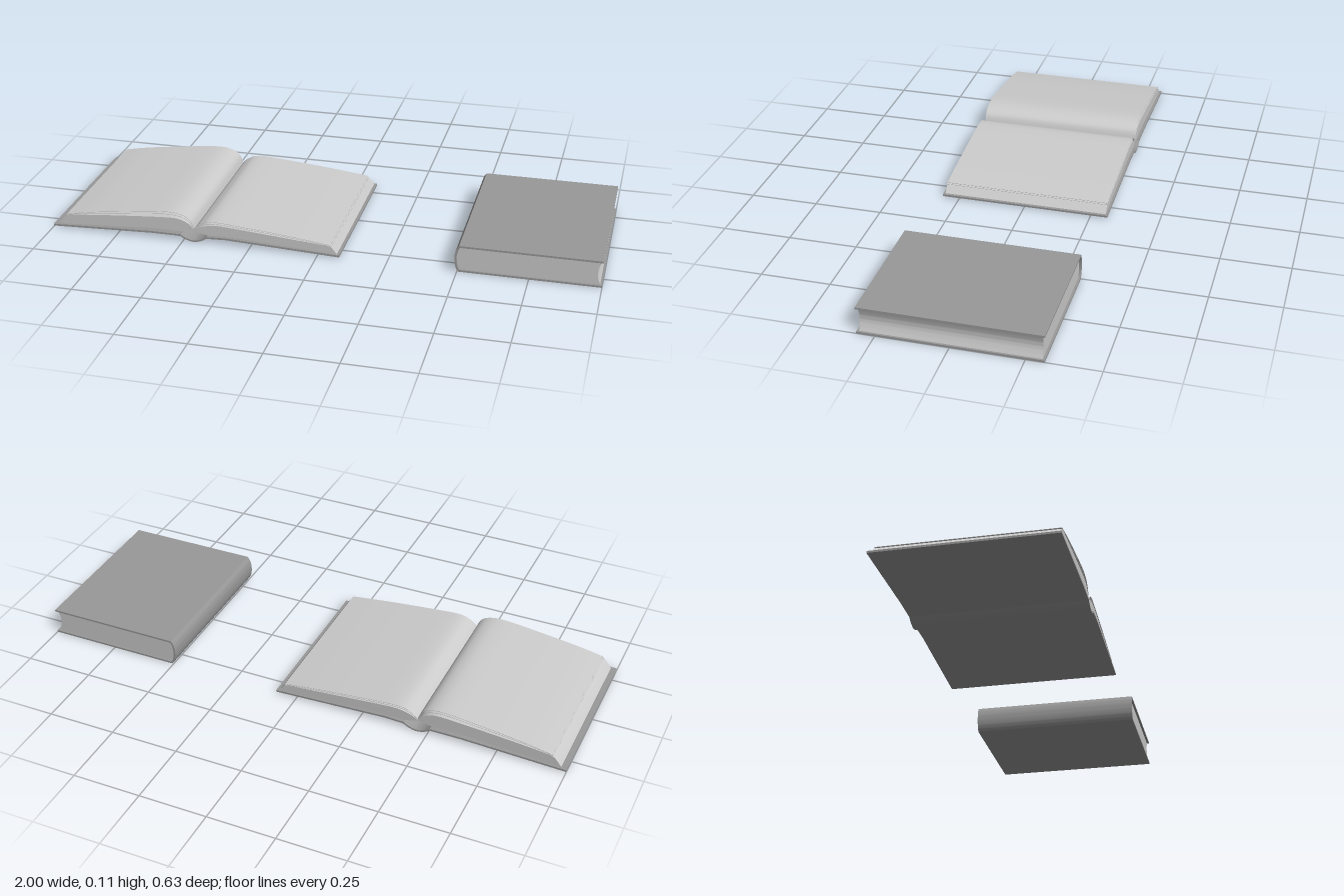
import * as THREE from 'three';
import { toCreasedNormals } from 'three/addons/utils/BufferGeometryUtils.js';

const paper = new THREE.MeshStandardMaterial({ color: 0xcccccc, side: THREE.DoubleSide });
const cloth = new THREE.MeshStandardMaterial({ color: 0x999999, side: THREE.DoubleSide });
const COVER_DEPTH = 0.626, PAGE_DEPTH = 0.61;

const vectors = (pts) => pts.map(([x, y]) => new THREE.Vector2(x, y));
const curve = (pts, n = 24) => new THREE.SplineCurve(vectors(pts)).getPoints(n);

// Outline in the xy plane, extruded evenly to both sides of z = 0
function prism(name, outline, depth, material) {
  const geo = new THREE.ExtrudeGeometry(new THREE.Shape(outline), { depth, bevelEnabled: false });
  geo.translate(0, 0, -depth / 2);
  const mesh = new THREE.Mesh(toCreasedNormals(geo, 0.6), material);
  mesh.name = name;
  return mesh;
}

// Band of constant thickness lying on the left-hand side of a line
function band(name, line, thickness, depth, material) {
  const offset = line.map((p, i) => {
    const a = line[Math.max(i - 1, 0)], b = line[Math.min(i + 1, line.length - 1)];
    const t = b.clone().sub(a).normalize();
    return new THREE.Vector2(p.x - t.y * thickness, p.y + t.x * thickness);
  });
  return prism(name, [...line, ...offset.reverse()], depth, material);
}

function openBook() {
  const book = new THREE.Group();
  book.name = 'openBook';

  // Covers and the sagging spine between them
  book.add(
    band('leftCover', vectors([[-1, 0.003], [-0.62, 0.018], [-0.51, 0.018]]), 0.007, COVER_DEPTH, cloth),
    band('rightCover', vectors([[-0.41, 0.018], [-0.34, 0.021], [0.08, 0.003]]), 0.007, COVER_DEPTH, cloth),
    band('spine', curve([[-0.512, 0.02], [-0.49, 0.007], [-0.46, 0], [-0.43, 0.007], [-0.408, 0.02]]),
      0.006, COVER_DEPTH, cloth),
  );

  // Page blocks: sloping fore edge, curved top, underside lifting at the gutter
  book.add(prism('leftPages', [
    ...vectors([[-0.98, 0.012], [-0.955, 0.043]]),
    ...curve([[-0.94, 0.05], [-0.85, 0.06], [-0.7, 0.073], [-0.56, 0.083], [-0.51, 0.08], [-0.478, 0.065], [-0.46, 0.045]]),
    ...curve([[-0.462, 0.042], [-0.51, 0.033], [-0.6, 0.034], [-0.75, 0.025], [-0.97, 0.012]], 14),
  ], PAGE_DEPTH, paper));
  book.add(prism('rightPages', [
    ...vectors([[0.07, 0.01], [0.05, 0.036]]),
    ...curve([[0.03, 0.04], [-0.1, 0.05], [-0.25, 0.062], [-0.37, 0.07], [-0.42, 0.063], [-0.445, 0.053], [-0.46, 0.042]]),
    ...curve([[-0.457, 0.04], [-0.41, 0.029], [-0.33, 0.031], [-0.15, 0.022], [0.06, 0.01]], 14),
  ], PAGE_DEPTH, paper));

  // Loose leaves arching above each block
  const leaves = [
    ['leftTopLeaf', [[-0.945, 0.052], [-0.85, 0.07], [-0.7, 0.09], [-0.57, 0.104], [-0.51, 0.1], [-0.475, 0.08], [-0.46, 0.045]]],
    ['leftLowerLeaf', [[-0.95, 0.049], [-0.85, 0.066], [-0.7, 0.082], [-0.57, 0.095], [-0.51, 0.091], [-0.478, 0.073], [-0.46, 0.044]]],
    ['rightTopLeaf', [[-0.46, 0.045], [-0.435, 0.067], [-0.385, 0.082], [-0.25, 0.073], [-0.1, 0.059], [0.045, 0.042]]],
    ['rightLowerLeaf', [[-0.46, 0.044], [-0.435, 0.062], [-0.385, 0.075], [-0.25, 0.067], [-0.1, 0.054], [0.05, 0.038]]],
  ];
  for (const [name, pts] of leaves) book.add(band(name, curve(pts, 32), 0.0015, PAGE_DEPTH, paper));
  return book;
}

function closedBook() {
  const book = new THREE.Group();
  book.name = 'closedBook';
  const height = 0.1, board = 0.007, left = 0.505, right = 1;

  // Flat boards
  for (const [name, y] of [['bottomCover', board / 2], ['topCover', height - board / 2]]) {
    const mesh = new THREE.Mesh(new THREE.BoxGeometry(right - left, board, COVER_DEPTH), cloth);
    mesh.name = name;
    mesh.position.set((left + right) / 2, y, 0);
    book.add(mesh);
  }

  // Rounded spine
  const spine = curve([[left, 0], [0.494, 0.02], [0.49, 0.05], [0.494, 0.08], [left, height]], 16);
  book.add(band('spine', spine.reverse(), 0.007, COVER_DEPTH, cloth));

  // Page block with a hollow fore edge and a rounded back
  book.add(prism('pages', [
    ...curve([[0.508, board], [0.5, 0.03], [0.497, 0.05], [0.5, 0.07], [0.508, height - board]], 16),
    ...curve([[0.993, height - board], [0.985, 0.07], [0.982, 0.05], [0.985, 0.03], [0.993, board]], 16),
  ], PAGE_DEPTH, paper));
  return book;
}

export function createModel() {
  const model = new THREE.Group();
  model.name = 'books';
  model.add(openBook(), closedBook());
  return model;
}
